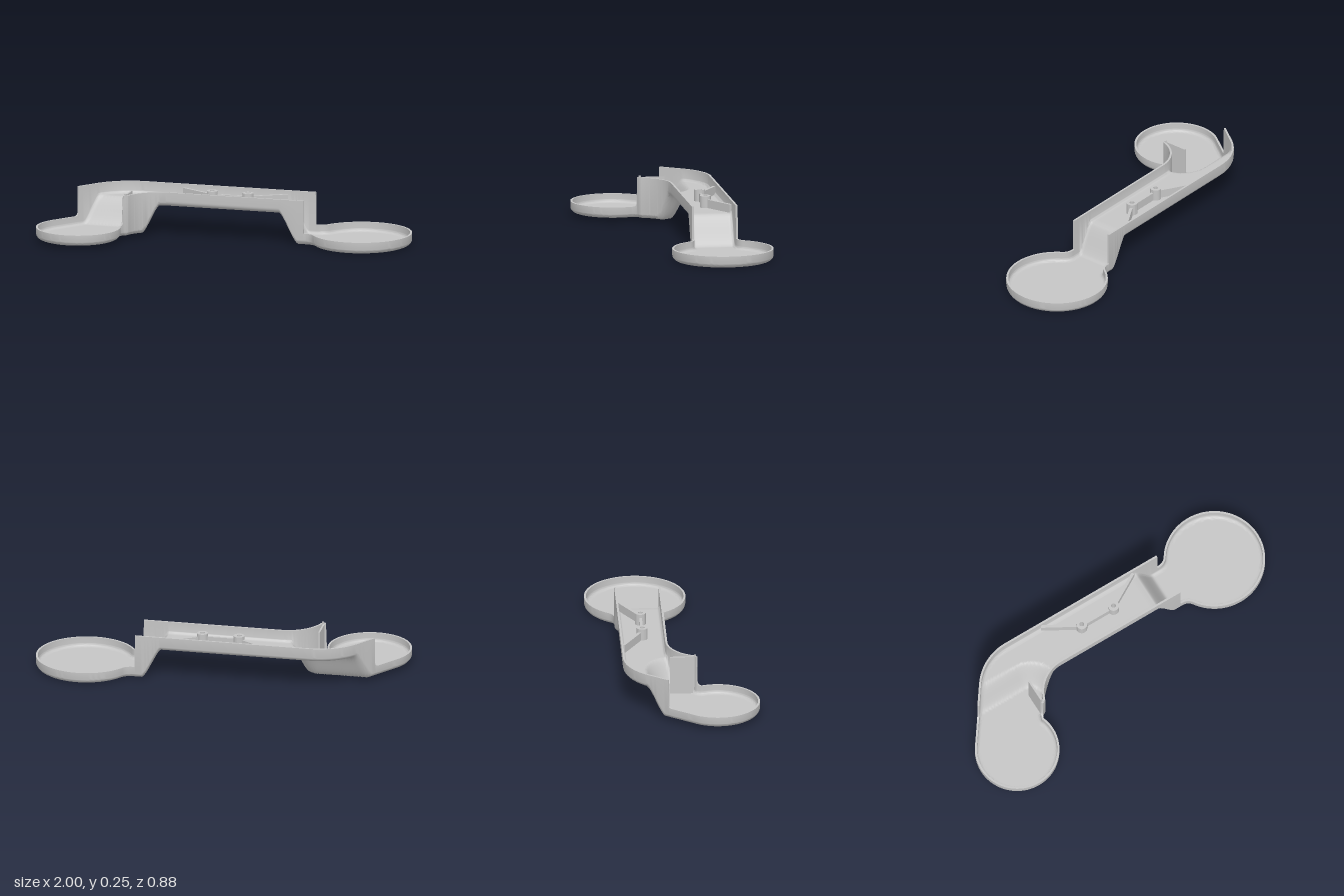
import * as THREE from 'three';
import { toCreasedNormals } from 'three/addons/utils/BufferGeometryUtils.js';

const ROUND = 0.03, WALL = 0.011, FLOOR = 0.012, TOP = 0.245, AXIS = -0.166;
const V = (x, y, z) => new THREE.Vector3(x, y, z);

// Plan pieces as [x, z] lists without their end point
const line = (x0, z0, x1, z1, n) => Array.from({ length: n }, (_, i) =>
  [x0 + (x1 - x0) * i / n, z0 + (z1 - z0) * i / n]);
const arc = (cx, cz, r, a0, a1, n) => Array.from({ length: n }, (_, i) => {
  const a = a0 + (a1 - a0) * i / n;
  return [cx + r * Math.cos(a), cz + r * Math.sin(a)];
});

// Underside height: right pan, ramp, bridge, rounded ramp, left pan
function underside(x, z) {
  const soften = (u) => {
    u = THREE.MathUtils.clamp(u, 0, 1);
    return 0.6 * u + 0.4 * u * u * (3 - 2 * u);
  };
  if (x > 0) return 0.167 * soften((0.392 - x) / 0.1);
  const d = Math.hypot(Math.max(x + 0.55, 0), Math.max(-z, 0)) - 0.08;
  return 0.019 + 0.148 * soften(d / 0.088);
}

// Triangles for a grid of points
function patch(out, rows, flip, closed) {
  const n = rows[0].length;
  for (let j = 0; j + 1 < rows.length; j++) {
    for (let k = 0; k < (closed ? n : n - 1); k++) {
      const m = (k + 1) % n;
      const a = rows[j][k], b = rows[j + 1][k], c = rows[j + 1][m], d = rows[j][m];
      for (const t of [[a, b, c], [a, c, d]]) {
        if (flip) t.reverse();
        if (t[0].distanceTo(t[1]) < 1e-6 || t[1].distanceTo(t[2]) < 1e-6 || t[0].distanceTo(t[2]) < 1e-6) continue;
        for (const p of t) out.push(p.x, p.y, p.z);
      }
    }
  }
}

function trayGeometry() {
  // Back and front edges, station by station from right tip to left tip
  const mirror = (list) => list.map(([x, z]) => [x, 2 * AXIS - z]);
  const head = [
    ...arc(0.7235, AXIS, 0.276, 0, -2.555, 48),
    ...arc(0.4437, -0.352, 0.06, 0.5866, Math.PI / 2, 8),
    ...line(0.4437, -0.292, 0.431, -0.292, 2),
  ];
  const bridge = [
    [0.431, -0.292],
    ...line(0.43, -0.292, 0.28, -0.292, 18),
    ...line(0.28, -0.292, -0.33, -0.292, 24),
  ];
  const back = [
    ...head, ...bridge,
    ...line(-0.33, -0.292, -0.535, -0.292, 12),
    ...arc(-0.535, 0.008, 0.3, -Math.PI / 2, -2.507, 18),
    ...line(-0.7765, -0.17, -0.855, -0.0615, 10),
    [-0.855, -0.0615],
    ...line(-0.856, -0.06, -0.868, -0.0435, 6),
    ...line(-0.868, -0.0435, -0.955, 0.0766, 6),
    ...arc(-0.77, 0.213, 0.23, -2.507, -4.567, 40),
  ];
  const front = [
    ...mirror(head), ...mirror(bridge),
    ...arc(-0.33, 0.16, 0.2, -Math.PI / 2, -2.842, 36),
    ...line(-0.521, 0.101, -0.543, 0.114, 4),
    [-0.543, 0.114],
    ...line(-0.544, 0.115, -0.5535, 0.1354, 6),
    ...arc(-0.77, 0.213, 0.23, -0.344, 1.716, 46),
  ];
  const tip = [-0.77 + 0.23 * Math.cos(1.716), 0.213 + 0.23 * Math.sin(1.716)];
  back.push(tip);
  front.push(tip);
  const count = back.length, first = head.length + 1, last = first + 82;

  // Closed outline with rim heights; the rim curves up to the left wall ends
  const rimAt = (i) => {
    if (i < first) return 0.064;
    if (i <= last) return TOP;
    const u = Math.max(0, 1 - (i - last - 1) / 6);
    return 0.08 + 0.02 * (1 - Math.sqrt(1 - u * u));
  };
  const station = ([x, z], i) => ({ x, z, rim: rimAt(i) });
  const loop = [...back.map(station), ...front.map(station).slice(1, -1).reverse()];
  // Inward normals
  loop.forEach((p, k) => {
    const a = loop[(k + loop.length - 1) % loop.length], b = loop[(k + 1) % loop.length];
    const tx = b.x - a.x, tz = b.z - a.z, l = Math.hypot(tx, tz) || 1;
    p.nx = tz / l;
    p.nz = -tx / l;
  });
  const inset = (e, height) => loop.map((p) => {
    const x = p.x + p.nx * e, z = p.z + p.nz * e;
    return V(x, height === null ? p.rim : underside(x, z) + height, z);
  });

  // Outer wall and lower rounding, then inner rounding, inner wall and rim
  const outer = [inset(0, null)], inner = [];
  const r = ROUND - WALL;
  for (let i = 0; i <= 7; i++) {
    const a = i / 7 * Math.PI / 2;
    outer.push(inset(ROUND * (1 - Math.cos(a)), ROUND * (1 - Math.sin(a))));
    inner.push(inset(WALL + r * (1 - Math.sin(a)), FLOOR + r * (1 - Math.cos(a))));
  }
  inner.push(inset(WALL, null), inset(0, null));

  const out = [];
  patch(out, outer, false, true);
  patch(out, inner, false, true);

  // Underside and floor spanned between the two edges
  const span = (ring, lift) => {
    const rows = [], cols = 48;
    for (let s = 0; s <= cols; s++) {
      rows.push(Array.from({ length: count }, (_, i) => {
        const p = ring[i].clone().lerp(ring[(loop.length - i) % loop.length], s / cols);
        p.y = underside(p.x, p.z) + lift;
        return p;
      }));
    }
    return rows;
  };
  patch(out, span(outer[outer.length - 1], 0), false, false);
  patch(out, span(inner[0], FLOOR), true, false);

  const geometry = new THREE.BufferGeometry();
  geometry.setAttribute('position', new THREE.Float32BufferAttribute(out, 3));
  return toCreasedNormals(geometry, 1.2);
}

export function createModel() {
  const group = new THREE.Group();
  const grey = new THREE.MeshStandardMaterial({ color: 0xc5c5c5 });
  grey.name = 'light grey';
  const add = (name, geometry, x = 0, y = 0, z = 0) => {
    const mesh = new THREE.Mesh(geometry, grey);
    mesh.name = name;
    mesh.position.set(x, y, z);
    group.add(mesh);
    return mesh;
  };
  // Upright thin wall between two plan points
  const rib = (name, x0, z0, x1, z1, y0, y1, t) => {
    const mesh = add(name, new THREE.BoxGeometry(Math.hypot(x1 - x0, z1 - z0), y1 - y0, t),
      (x0 + x1) / 2, (y0 + y1) / 2, (z0 + z1) / 2);
    mesh.rotation.y = -Math.atan2(z1 - z0, x1 - x0);
  };

  add('tray', trayGeometry());

  // Two screw bosses with bores
  const ring = [[0.013, 0.172], [0.03, 0.172], [0.03, 0.243], [0.013, 0.243], [0.013, 0.172]]
    .map(([x, y]) => new THREE.Vector2(x, y));
  for (const x of [-0.123, 0.08]) {
    add('screwBoss', toCreasedNormals(new THREE.LatheGeometry(ring, 32), 0.6), x, 0, -0.167);
  }

  // Ribs linking the bosses to each other and to the back wall
  rib('middleRib', -0.095, -0.167, 0.052, -0.167, 0.177, 0.225, 0.014);
  rib('sideRib', -0.315, -0.277, -0.148, -0.181, 0.177, 0.225, 0.016);
  rib('sideRib', 0.272, -0.277, 0.105, -0.181, 0.177, 0.225, 0.016);

  // Partition and pin at the left neck
  rib('partition', -0.54, -0.036, -0.54, 0.09, 0.029, 0.245, 0.01);
  add('pin', new THREE.CylinderGeometry(0.006, 0.006, 0.19, 16), -0.534, 0.159, 0.1);
  return group;
}
